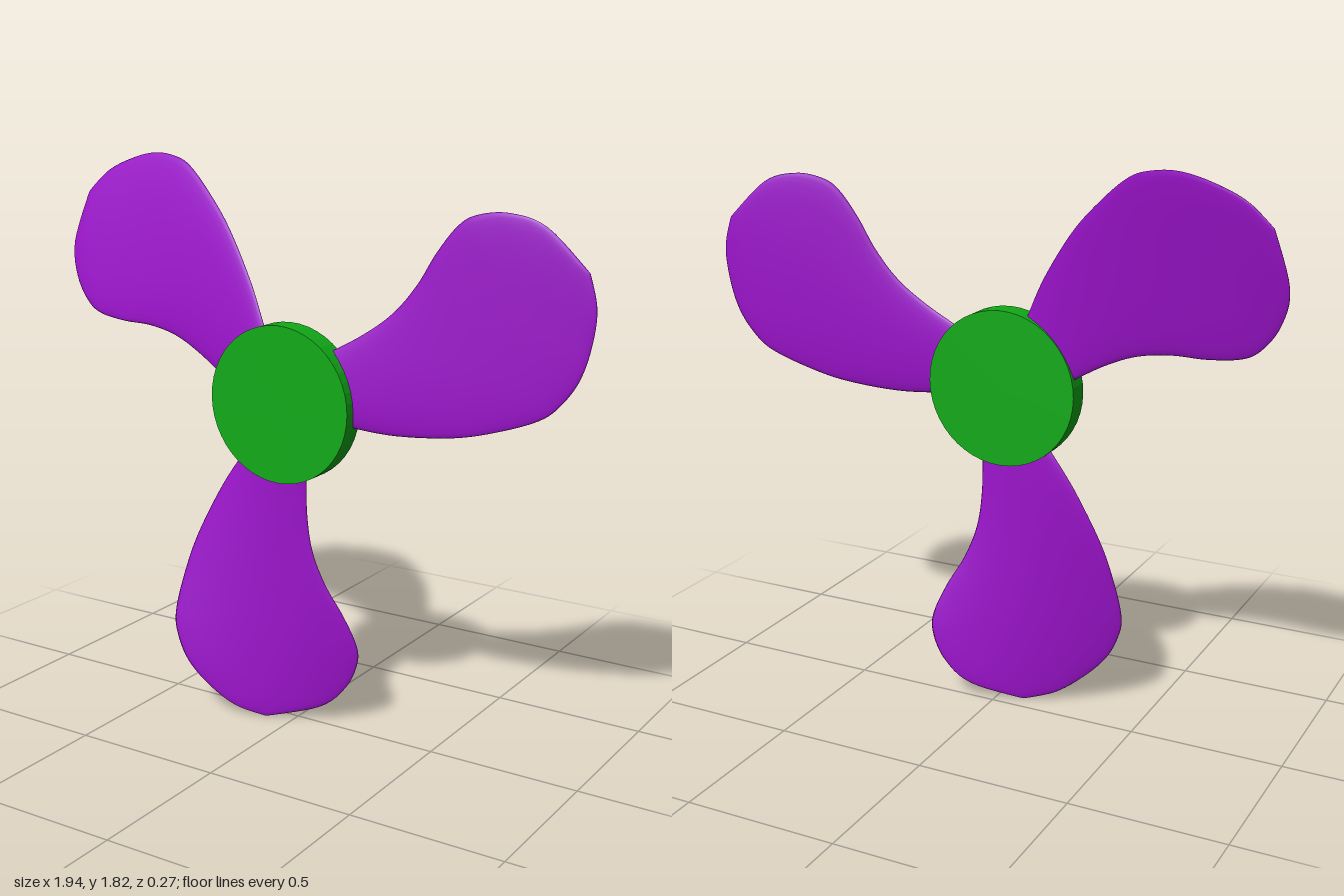
import * as THREE from 'three';

const HUB = { x: -0.02, y: 1.08, radius: 0.253, zBack: 0.012, zFront: 0.088 };
const BLADE_Z = 0.04;

// Matching points on the two edges of the downward blade, root to tip
const LEFT_EDGE = [[-0.12, 0.98], [-0.18, 0.9], [-0.265, 0.77], [-0.345, 0.6], [-0.385, 0.46], [-0.405, 0.33],
  [-0.39, 0.25], [-0.35, 0.17], [-0.28, 0.095], [-0.19, 0.03], [-0.09, 0]];
const RIGHT_EDGE = [[0.055, 0.98], [0.055, 0.86], [0.055, 0.72], [0.07, 0.6], [0.11, 0.49], [0.165, 0.39],
  [0.205, 0.29], [0.205, 0.22], [0.165, 0.13], [0.08, 0.05], [-0.09, 0]];

// Edge curve measured from the hub centre
const edgeCurve = (points) =>
  new THREE.SplineCurve(points.map(([x, y]) => new THREE.Vector2(x - HUB.x, y - HUB.y)));

// Thin lens sections swept from root to tip; lean and twist grow with distance from the hub
function bladeGeometry(lean, twist) {
  const rows = 60, sides = 32;
  const left = edgeCurve(LEFT_EDGE), right = edgeCurve(RIGHT_EDGE);
  const position = [], index = [];
  for (let i = 0; i <= rows; i++) {
    const u = i / rows;
    const l = left.getPoint(u), r = right.getPoint(u);
    const half = 0.016 * Math.sqrt(Math.max(0, 1 - u ** 4));
    for (let j = 0; j < sides; j++) {
      const a = (j / sides) * Math.PI * 2;
      const p = l.clone().lerp(r, 0.5 + 0.5 * Math.cos(a));
      const grow = Math.max(0, (-p.y - 0.2) / 0.88);
      position.push(p.x, p.y, grow * (lean + twist * p.x) + half * Math.sin(a));
      if (i < rows) {
        const k = (j + 1) % sides;
        const a0 = i * sides + j, a1 = i * sides + k;
        index.push(a0, a1, a0 + sides, a1, a1 + sides, a0 + sides);
      }
    }
  }
  const geometry = new THREE.BufferGeometry();
  geometry.setAttribute('position', new THREE.Float32BufferAttribute(position, 3));
  geometry.setIndex(index);
  geometry.computeVertexNormals();
  return geometry;
}

export function createModel() {
  const model = new THREE.Group();
  model.name = 'propeller';
  const green = new THREE.MeshStandardMaterial({ color: 0x11aa18, flatShading: true });
  const purple = new THREE.MeshStandardMaterial({ color: 0x9c13cc, side: THREE.DoubleSide });

  // Hub disc facing forward
  const hub = new THREE.Mesh(
    new THREE.CylinderGeometry(HUB.radius, HUB.radius, HUB.zFront - HUB.zBack, 48).rotateX(Math.PI / 2), green);
  hub.name = 'hub';
  hub.position.set(HUB.x, HUB.y, (HUB.zFront + HUB.zBack) / 2);
  model.add(hub);

  // Three blades a third of a turn apart, each with its own pitch
  const blades = [
    { name: 'bottomBlade', turn: 0, lean: -0.012, twist: -0.4 },
    { name: 'leftBlade', turn: 1, lean: -0.068, twist: 0.07 },
    { name: 'rightBlade', turn: -1, lean: -0.139, twist: 0.18 },
  ];
  for (const { name, turn, lean, twist } of blades) {
    const blade = new THREE.Mesh(bladeGeometry(lean, twist), purple);
    blade.name = name;
    blade.position.set(HUB.x, HUB.y, BLADE_Z);
    blade.rotation.z = (turn * Math.PI * 2) / 3;
    model.add(blade);
  }
  return model;
}
